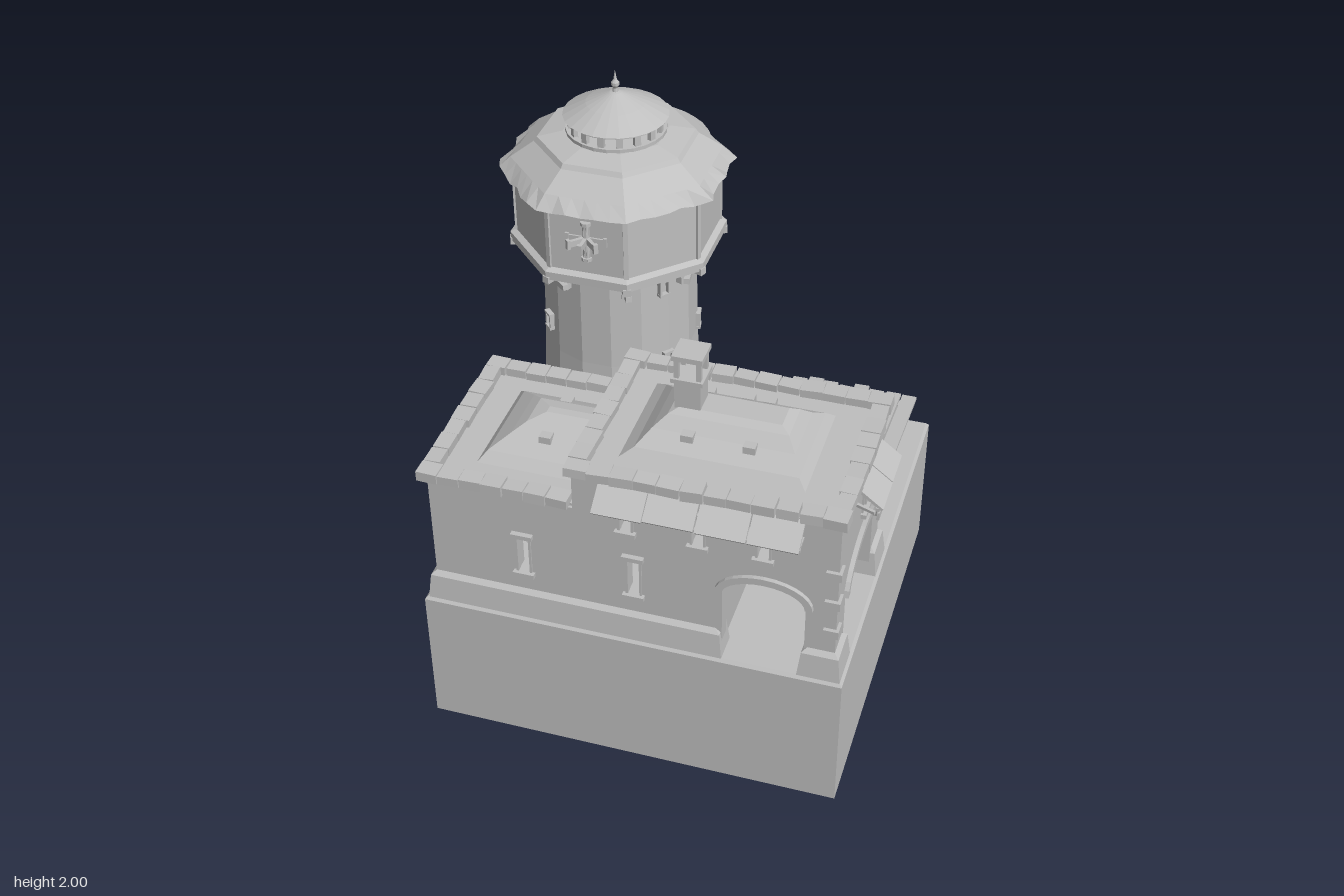
import * as THREE from 'three';

const stone = new THREE.MeshStandardMaterial({ color: 0xbfbfbf, flatShading: true, side: THREE.DoubleSide });
stone.name = 'grey stone';

let seed = 7;
const rnd = () => (seed = (seed * 16807) % 2147483647) / 2147483647;
const jit = (a) => (rnd() - 0.5) * 2 * a;

function add(parent, name, geo, x = 0, y = 0, z = 0) {
  const m = new THREE.Mesh(geo, stone);
  m.name = name;
  m.position.set(x, y, z);
  parent.add(m);
  return m;
}
const box = (p, name, w, h, d, x, y, z) => add(p, name, new THREE.BoxGeometry(w, h, d), x, y, z);
function group(parent, name, x = 0, y = 0, z = 0, ry = 0) {
  const g = new THREE.Group();
  g.name = name;
  g.position.set(x, y, z);
  g.rotation.y = ry;
  parent.add(g);
  return g;
}
// square beam between two points
function beam(p, name, a, b, t) {
  const A = new THREE.Vector3(...a), B = new THREE.Vector3(...b);
  const m = box(p, name, t, t, A.distanceTo(B), 0, 0, 0);
  m.position.copy(A).add(B).multiplyScalar(0.5);
  m.lookAt(B);
}
// skin over equal rings of points, with the last ring closed
function loft(rings) {
  const n = rings[0].length, idx = [];
  for (let r = 0; r < rings.length - 1; r++)
    for (let i = 0; i < n; i++) {
      const a = r * n + i, b = r * n + (i + 1) % n;
      idx.push(a, b, a + n, b, b + n, a + n);
    }
  const top = (rings.length - 1) * n;
  for (let i = 1; i < n - 1; i++) idx.push(top, top + i, top + i + 1);
  const g = new THREE.BufferGeometry();
  g.setAttribute('position', new THREE.Float32BufferAttribute(rings.flat(2), 3));
  g.setIndex(idx);
  g.computeVertexNormals();
  return g;
}

const G = 0.53; // ground level on the base
const T = 0.05; // wall thickness
const arc = (cx, a, spring, rise, n = 14) => Array.from({ length: n + 1 }, (_, i) => {
  const t = Math.PI * i / n;
  return new THREE.Vector2(cx - a * Math.cos(t), spring + rise * Math.sin(t));
});

// wall whose outer face is local z = 0, with windows [x, y0, y1, w] and an optional arch
function wall(g, outline, windows, arch) {
  let pts = outline.map((p) => new THREE.Vector2(...p));
  if (arch) {
    const c = arc(arch.x, arch.a, arch.spring, arch.rise);
    pts = [pts[0], new THREE.Vector2(arch.x - arch.a, G), ...c, new THREE.Vector2(arch.x + arch.a, G), ...pts.slice(1)];
    const trim = new THREE.Shape([...arc(arch.x, arch.a + 0.025, arch.spring, arch.rise + 0.025),
      ...arc(arch.x, arch.a, arch.spring, arch.rise).reverse()]);
    add(g, 'archTrim', new THREE.ExtrudeGeometry(trim, { depth: 0.025, bevelEnabled: false }), 0, 0, -0.01);
  }
  const s = new THREE.Shape(pts);
  for (const [x, y0, y1, w] of windows) {
    const h = w / 2;
    s.holes.push(new THREE.Path([[x - h, y0], [x - h, y1], [x + h, y1], [x + h, y0]].map((p) => new THREE.Vector2(...p))));
    box(g, 'windowSill', w + 0.03, 0.016, 0.03, x, y0 - 0.006, 0.003);
    box(g, 'windowLintel', w + 0.03, 0.016, 0.03, x, y1 + 0.006, 0.003);
    for (const k of [-1, 1]) box(g, 'windowJamb', 0.008, y1 - y0, 0.02, x + k * (h + 0.002), (y0 + y1) / 2, -0.004);
  }
  add(g, 'wall', new THREE.ExtrudeGeometry(s, { depth: T, bevelEnabled: false }), 0, 0, -T);
}
// tapered plinth block: base is wider than the top
function plinth(g, x0, x1, z0, z1) {
  const ring = (y, o) => [[x0 - o, y, z1 + o], [x1 + o, y, z1 + o], [x1 + o, y, z0 - o], [x0 - o, y, z0 - o]];
  add(g, 'plinth', loft([ring(G, 0.026), ring(G + 0.09, 0.016), ring(G + 0.105, 0)]));
}
// sloping canopy over windows, in wall coordinates
function awning(g, x0, x1, n, y = 1.155) {
  const w = (x1 - x0) / n;
  for (let i = 0; i < n; i++) {
    const m = box(g, 'awningPanel', w - 0.004, 0.01, 0.105, x0 + w * (i + 0.5), y - 0.03 + jit(0.003), 0.043);
    m.rotation.x = 0.66;
  }
  for (let i = 0; i <= n; i++) {
    const x = x0 + 0.01 + (x1 - x0 - 0.02) * i / n;
    beam(g, 'awningBracket', [x, y - 0.09, 0], [x, y - 0.055, 0.06], 0.01);
  }
  box(g, 'awningRail', x1 - x0, 0.012, 0.012, (x0 + x1) / 2, y - 0.062, 0.07);
}
// row of uneven coping stones
function coping(g, x0, z0, x1, z1, y) {
  const len = Math.hypot(x1 - x0, z1 - z0), n = Math.round(len / 0.075), alongX = Math.abs(x1 - x0) > 0.01;
  for (let i = 0; i < n; i++) {
    const t = (i + 0.5) / n, l = len / n - 0.003 + jit(0.004), w = 0.058 + jit(0.006);
    const m = box(g, 'copingStone', alongX ? l : w, 0.036 + jit(0.004), alongX ? w : l, x0 + (x1 - x0) * t, y, z0 + (z1 - z0) * t);
    m.rotation.set(jit(0.04), jit(0.05), jit(0.04));
  }
}
// curved hip roof from rectangles [y, x0, x1, z0, z1]
const hip = (rows) => loft(rows.map(([y, x0, x1, z0, z1]) => [[x0, y, z1], [x1, y, z1], [x1, y, z0], [x0, y, z0]]));

function buildHouse(root) {
  const h = group(root, 'house');
  const arch = { x: 0.435, a: 0.135, spring: 0.8, rise: 0.07 };
  const front = group(h, 'frontWall', 0, 0, 0.66);
  wall(front, [[-0.68, G], [0.67, G], [0.67, 1.16], [-0.19, 1.16], [-0.19, 1.02], [-0.68, 1.02]],
    [[-0.365, 0.71, 0.86, 0.042], [0.008, 0.71, 0.86, 0.042], [-0.015, 0.97, 1.09, 0.04], [0.22, 0.97, 1.09, 0.04], [0.43, 0.97, 1.09, 0.04]], arch);
  awning(front, -0.1, 0.56, 4);
  const back = group(h, 'backWall', 0, 0, 0.04, Math.PI);
  wall(back, [[-0.67, G], [0.68, G], [0.68, 1.02], [0.19, 1.02], [0.19, 1.16], [-0.67, 1.16]],
    [[-0.008, 0.71, 0.86, 0.042], [-0.16, 0.97, 1.09, 0.04], [-0.36, 0.97, 1.09, 0.04]], { ...arch, x: -0.435 });
  awning(back, -0.47, -0.05, 3);
  const right = group(h, 'rightWall', 0.67, 0, 0, Math.PI / 2);
  wall(right, [[-0.66, G], [-0.04, G], [-0.04, 1.16], [-0.66, 1.16]], [[-0.34, 0.97, 1.09, 0.04]],
    { x: -0.35, a: 0.195, spring: 0.79, rise: 0.09 });
  awning(right, -0.48, -0.2, 2);
  const left = group(h, 'leftWall', -0.68, 0, 0, -Math.PI / 2);
  wall(left, [[0.04, G], [0.66, G], [0.66, 1.02], [0.04, 1.02]], [[0.35, 0.77, 0.9, 0.042]]);
  box(left, 'windowHood', 0.1, 0.01, 0.05, 0.35, 0.945, 0.012).rotation.x = 0.6;

  // porch inner wall and door, upper end wall
  box(h, 'porchInnerWall', 0.04, 0.6, 0.56, 0.27, G + 0.3, 0.35);
  box(h, 'porchDoor', 0.012, 0.28, 0.11, 0.292, G + 0.16, 0.225);
  box(h, 'upperEndWall', 0.05, 0.16, 0.62, -0.165, 1.08, 0.35);
  box(h, 'porchCeiling', 0.38, 0.02, 0.56, 0.46, 0.93, 0.35);

  // plinths under walls and piers
  plinth(h, -0.68, 0.28, 0.61, 0.66);
  plinth(h, -0.68, 0.28, 0.04, 0.09);
  plinth(h, -0.68, -0.63, 0.04, 0.66);
  plinth(h, 0.58, 0.67, 0.565, 0.66);
  plinth(h, 0.58, 0.67, 0.04, 0.135);
  // projecting corner stones
  for (const z of [0.05, 0.65]) for (const y of [0.72, 0.84, 0.96])
    box(h, 'cornerStone', 0.05, 0.03, 0.04, 0.655, y, z < 0.3 ? z + 0.002 : z - 0.002).scale.set(1, 1, 1.25);

  // roofs
  box(h, 'lowTerrace', 0.5, 0.02, 0.6, -0.43, 1.02, 0.35);
  box(h, 'highTerrace', 0.84, 0.02, 0.6, 0.245, 1.155, 0.35);
  add(h, 'lowHipRoof', hip([[1.025, -0.56, -0.19, 0.14, 0.55], [1.06, -0.53, -0.19, 0.18, 0.51],
    [1.1, -0.47, -0.19, 0.24, 0.45], [1.125, -0.43, -0.19, 0.28, 0.41], [1.138, -0.38, -0.19, 0.33, 0.36]]));
  add(h, 'highHipRoof', hip([[1.16, -0.08, 0.53, 0.14, 0.55], [1.195, -0.03, 0.5, 0.18, 0.52],
    [1.235, 0.01, 0.47, 0.24, 0.46], [1.27, 0.05, 0.44, 0.28, 0.42], [1.283, 0.08, 0.41, 0.3, 0.39]]));
  for (const [x, z, y] of [[0.13, 0.23, 1.235], [0.26, 0.23, 1.235], [0.33, 0.23, 1.235], [0.13, 0.47, 1.235],
    [0.33, 0.47, 1.235], [-0.35, 0.25, 1.105], [-0.35, 0.45, 1.105]])
    box(h, 'roofVent', 0.04, 0.025, 0.034, x, y, z);
  coping(h, -0.71, 0.65, -0.2, 0.65, 1.042);
  coping(h, -0.71, 0.05, -0.2, 0.05, 1.042);
  coping(h, -0.68, 0.08, -0.68, 0.62, 1.042);
  coping(h, -0.21, 0.65, 0.69, 0.65, 1.175);
  coping(h, -0.21, 0.05, 0.69, 0.05, 1.175);
  coping(h, 0.66, 0.08, 0.66, 0.62, 1.175);
  coping(h, -0.18, 0.08, -0.18, 0.62, 1.175);

  // chimney with open top frame
  const c = group(h, 'chimney', 0.105, 0, 0.35);
  box(c, 'chimneyStack', 0.085, 0.19, 0.085, 0, 1.285, 0);
  box(c, 'chimneyLedge', 0.105, 0.015, 0.105, 0, 1.385, 0);
  for (const x of [-1, 1]) for (const z of [-1, 1]) box(c, 'chimneyPost', 0.016, 0.08, 0.016, x * 0.036, 1.425, z * 0.036);
  box(c, 'chimneyCap', 0.1, 0.018, 0.1, 0, 1.468, 0);
}

function buildTower(root) {
  const t = group(root, 'tower', -0.375, 0, -0.378);
  const K = 1 / Math.cos(Math.PI / 8);
  const lathe = (name, pts, n, rot = Math.PI / n) => {
    add(t, name, new THREE.LatheGeometry(pts.map((p) => new THREE.Vector2(...p)), n)).rotation.y = rot;
  };
  const oct = (a) => a.map(([r, y]) => [r * K, y]);
  lathe('towerShaft', [[0.318, G], [0.298, 0.65], [0.282, 0.8], [0.273, 1], [0.268, 1.39]], 16);
  lathe('towerHead', oct([[0.25, 1.375], [0.345, 1.375], [0.345, 1.405], [0.325, 1.415], [0.325, 1.66], [0.25, 1.67]]), 8);
  // octagonal roof with a ragged eave
  const N = 48, rings = [[0.38, 1.655], [0.33, 1.697], [0.255, 1.752], [0.245, 1.768], [0.165, 1.785]].map(([a, y], r) =>
    Array.from({ length: N }, (_, i) => {
      const an = i / N * Math.PI * 2 + Math.PI / 8, k = (i % 6) / 6 * Math.PI / 4 - Math.PI / 8;
      const R = a / Math.cos(k) * (r ? 1 : 0.985) + (r ? 0 : jit(0.01));
      return [R * Math.sin(an), y + (r ? 0 : jit(0.008)), R * Math.cos(an)];
    }));
  add(t, 'towerRoof', loft(rings));
  // lantern, cap and finial
  lathe('lanternBase', [[0.17, 1.778], [0.17, 1.797], [0.15, 1.797]], 24);
  lathe('lanternRing', [[0.15, 1.832], [0.165, 1.832], [0.165, 1.845]], 24);
  for (let i = 0; i < 16; i++) {
    const p = group(t, 'lanternPost', 0, 0, 0, i * Math.PI / 8);
    box(p, 'post', 0.022, 0.045, 0.016, 0, 1.815, 0.153);
  }
  lathe('lanternCap', [[0.15, 1.84], [0.178, 1.843], [0.1, 1.885], [0.02, 1.92], [0, 1.925]], 24);
  lathe('finial', [[0.012, 1.915], [0.008, 1.935], [0.014, 1.945], [0.014, 1.955], [0.006, 1.965], [0, 2]], 8);

  for (let i = 0; i < 8; i++) {
    // cross slits on each face
    const f = group(t, 'crossSlit', 0, 1.545, 0.325, i * Math.PI / 4);
    box(f, 'crossUpright', 0.024, 0.135, 0.012, 0, -0.005, 0);
    box(f, 'crossArm', 0.13, 0.022, 0.012, 0, 0, 0);
    for (const k of [-1, 1]) {
      box(f, 'crossTip', 0.012, 0.034, 0.016, k * 0.066, 0, 0);
      box(f, 'crossTip', 0.036, 0.012, 0.016, 0, k * 0.067 - 0.005, 0);
    }
    // corner ribs and brackets
    const b = group(t, 'cornerBracket', 0, 0, 0, (i + 0.5) * Math.PI / 4);
    box(b, 'rib', 0.016, 0.24, 0.012, 0, 1.535, 0.35);
    box(b, 'bracketPost', 0.026, 0.1, 0.026, 0, 1.34, 0.275);
    box(b, 'bracketArm', 0.026, 0.026, 0.13, 0, 1.372, 0.31);
    beam(b, 'bracketStrut', [0, 1.3, 0.275], [0, 1.365, 0.345], 0.02);
  }
  // small shaft windows
  for (const [an, y] of [[0.9, 1.3], [-0.8, 1.1], [1.75, 1.04], [0.95, 1.0], [2.6, 1.04], [3.6, 1.3], [4.3, 1.04], [2.4, 1.3]]) {
    const w = group(t, 'shaftWindow', 0, y, 0, an);
    for (const k of [-1, 1]) {
      box(w, 'jamb', 0.008, 0.055, 0.03, k * 0.016, 0, 0.268);
      box(w, 'lintel', 0.042, 0.009, 0.034, 0, k * 0.028, 0.268);
    }
  }
  // arched door facing the canopy
  const d = group(t, 'towerDoor', 0, 0, 0, Math.PI / 2);
  const outer = [new THREE.Vector2(-0.075, G), ...arc(0, 0.075, 0.79, 0.075), new THREE.Vector2(0.075, G)];
  const inner = [new THREE.Vector2(0.055, G), ...arc(0, 0.055, 0.79, 0.055).reverse(), new THREE.Vector2(-0.055, G)];
  add(d, 'doorFrame', new THREE.ExtrudeGeometry(new THREE.Shape([...outer, ...inner]), { depth: 0.07, bevelEnabled: false }), 0, 0, 0.25);
  add(d, 'doorLeaf', new THREE.ExtrudeGeometry(new THREE.Shape(inner), { depth: 0.06, bevelEnabled: false }), 0, 0, 0.25);
}

function buildCanopy(root) {
  const c = group(root, 'plankCanopy');
  const yAt = (z) => 0.875 + z * 0.09;
  for (let i = 0; i < 8; i++) {
    const z1 = 0.03, z0 = -0.465 + jit(0.012);
    const m = box(c, 'plank', 0.051, 0.012, z1 - z0, 0.268 + i * 0.0565, yAt((z0 + z1) / 2) + jit(0.003), (z0 + z1) / 2);
    m.rotation.set(-0.09, jit(0.02), jit(0.04));
  }
  for (const z of [-0.03, -0.42]) box(c, 'crossBeam', 0.42, 0.026, 0.026, 0.465, yAt(z) - 0.02, z);
  for (const [x, k] of [[0.31, 1], [0.62, -1]]) {
    box(c, 'post', 0.034, 0.29, 0.034, x, G + 0.145, -0.43);
    box(c, 'postFoot', 0.046, 0.03, 0.046, x, G + 0.015, -0.43);
    beam(c, 'rafter', [x, yAt(0.03) - 0.018, 0.03], [x, yAt(-0.45) - 0.018, -0.45], 0.024);
    beam(c, 'brace', [x, 0.7, -0.43], [x + k * 0.1, 0.82, -0.43], 0.022);
    beam(c, 'brace', [x, 0.69, -0.43], [x, 0.82, -0.29], 0.022);
  }
}

export function createModel() {
  const root = new THREE.Group();
  root.name = 'towerHouse';
  // hollow base, open underneath, with a chamfered top edge
  const ring = (y, o) => [[-0.72 + o, y, 0.692 - o], [0.705 - o, y, 0.692 - o], [0.705 - o, y, -0.73 + o], [-0.72 + o, y, -0.73 + o]];
  add(root, 'base', loft([ring(0, 0), ring(G - 0.012, 0), ring(G, 0.01)]));
  buildHouse(root);
  buildTower(root);
  buildCanopy(root);
  return root;
}
